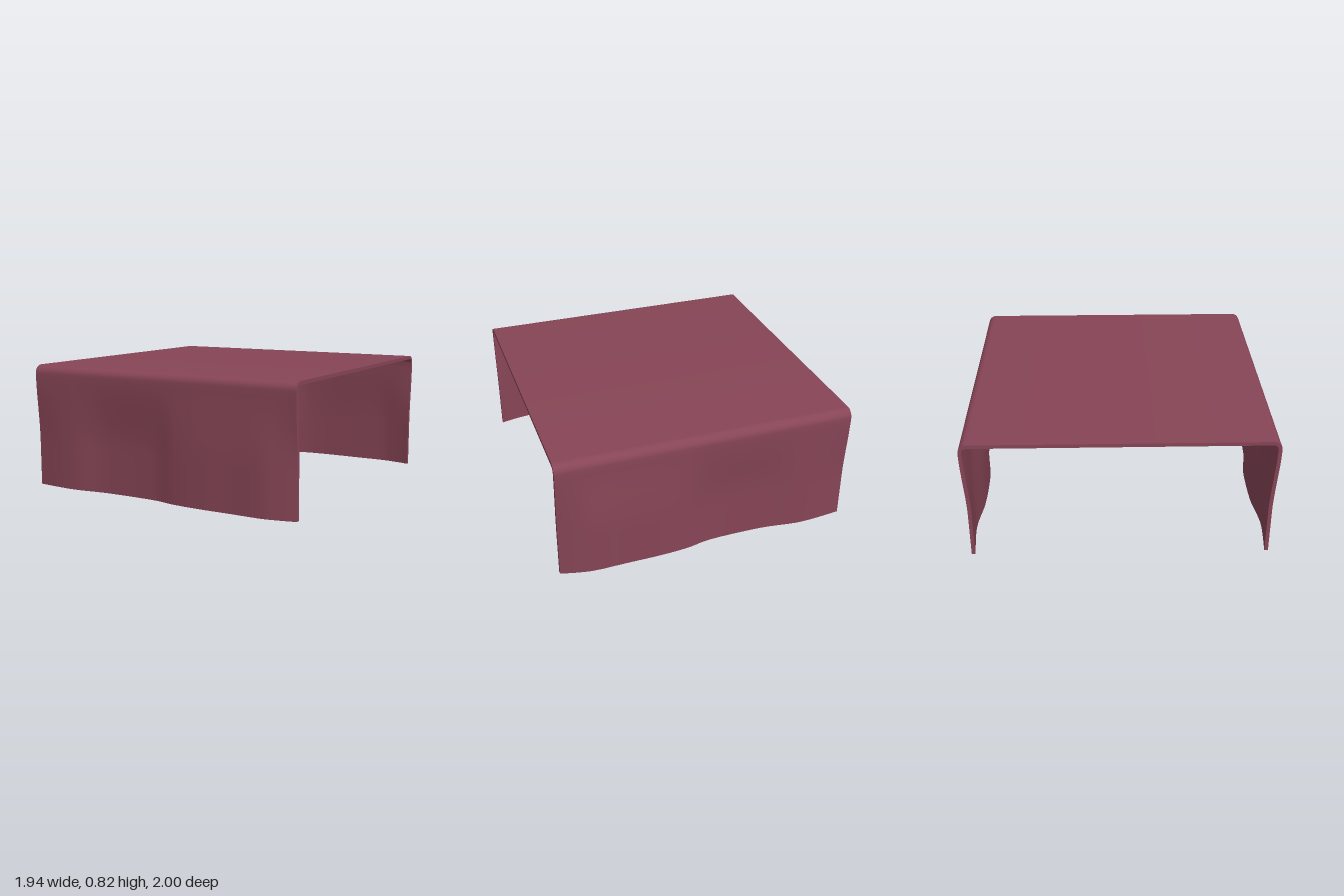
import * as THREE from 'three';
import { toCreasedNormals } from 'three/addons/utils/BufferGeometryUtils.js';

const HALF_DEPTH = 0.98, TOP = 0.818, RADIUS = 0.055, THICK = 0.024;

// Outer line of the cloth, from the front hem over the top to the back hem: [z, y, normal z, normal y]
function crossSection() {
  const half = [];
  const bend = TOP - RADIUS;
  for (let i = 0; i <= 20; i++) half.push([HALF_DEPTH, bend * i / 20, 1, 0]);
  for (let i = 1; i <= 8; i++) {
    const a = (i / 8) * Math.PI / 2, c = Math.cos(a), s = Math.sin(a);
    half.push([HALF_DEPTH - RADIUS + RADIUS * c, bend + RADIUS * s, c, s]);
  }
  return [...half, ...half.map(([z, y, nz, ny]) => [-z, y, -nz, ny]).reverse()];
}

// Folds of the hanging sides: how far the cloth swings out along x
const folds = new THREE.SplineCurve([
  [-0.97, -0.025], [-0.68, -0.003], [-0.4, -0.032], [-0.05, -0.03], [0.12, 0],
  [0.3, 0.014], [0.55, 0.016], [0.75, 0.018], [0.87, 0], [0.97, -0.025],
].map(([x, z]) => new THREE.Vector2(x, z))).getPoints(72);

function clothGeometry() {
  const path = crossSection();
  const inner = path.map(([z, y, nz, ny]) => [z - THICK * nz, y - THICK * ny]).reverse();
  const loop = [...path, ...inner];
  const n = loop.length, positions = [], index = [];

  // Folds are full near the hem and fade out towards the bend
  for (const { x, y: swing } of folds) {
    for (const [z, y] of loop) {
      const fade = 1 - THREE.MathUtils.smoothstep(y, 0.3, 0.77);
      positions.push(x, y, z + Math.sign(z) * swing * fade);
    }
  }

  // Outer skin, hems and inner skin
  for (let i = 0; i < folds.length - 1; i++) {
    for (let j = 0; j < n; j++) {
      const k = (j + 1) % n;
      const a = i * n + j, b = a + n, c = i * n + k, d = c + n;
      index.push(a, b, d, a, d, c);
    }
  }

  // Cut edges at both ends
  const last = (folds.length - 1) * n;
  for (let j = 0; j < path.length - 1; j++) {
    const o = j, p = j + 1, q = n - 1 - j, r = n - 2 - j;
    index.push(last + o, last + q, last + r, last + o, last + r, last + p);
    index.push(o, r, q, o, p, r);
  }

  const geometry = new THREE.BufferGeometry();
  geometry.setAttribute('position', new THREE.Float32BufferAttribute(positions, 3));
  geometry.setIndex(index);
  return toCreasedNormals(geometry, Math.PI / 4);
}

export function createModel() {
  const group = new THREE.Group();
  group.name = 'drapedCloth';
  const cloth = new THREE.Mesh(clothGeometry(), new THREE.MeshStandardMaterial({ color: 0x874556 }));
  cloth.name = 'cloth';
  group.add(cloth);
  return group;
}
